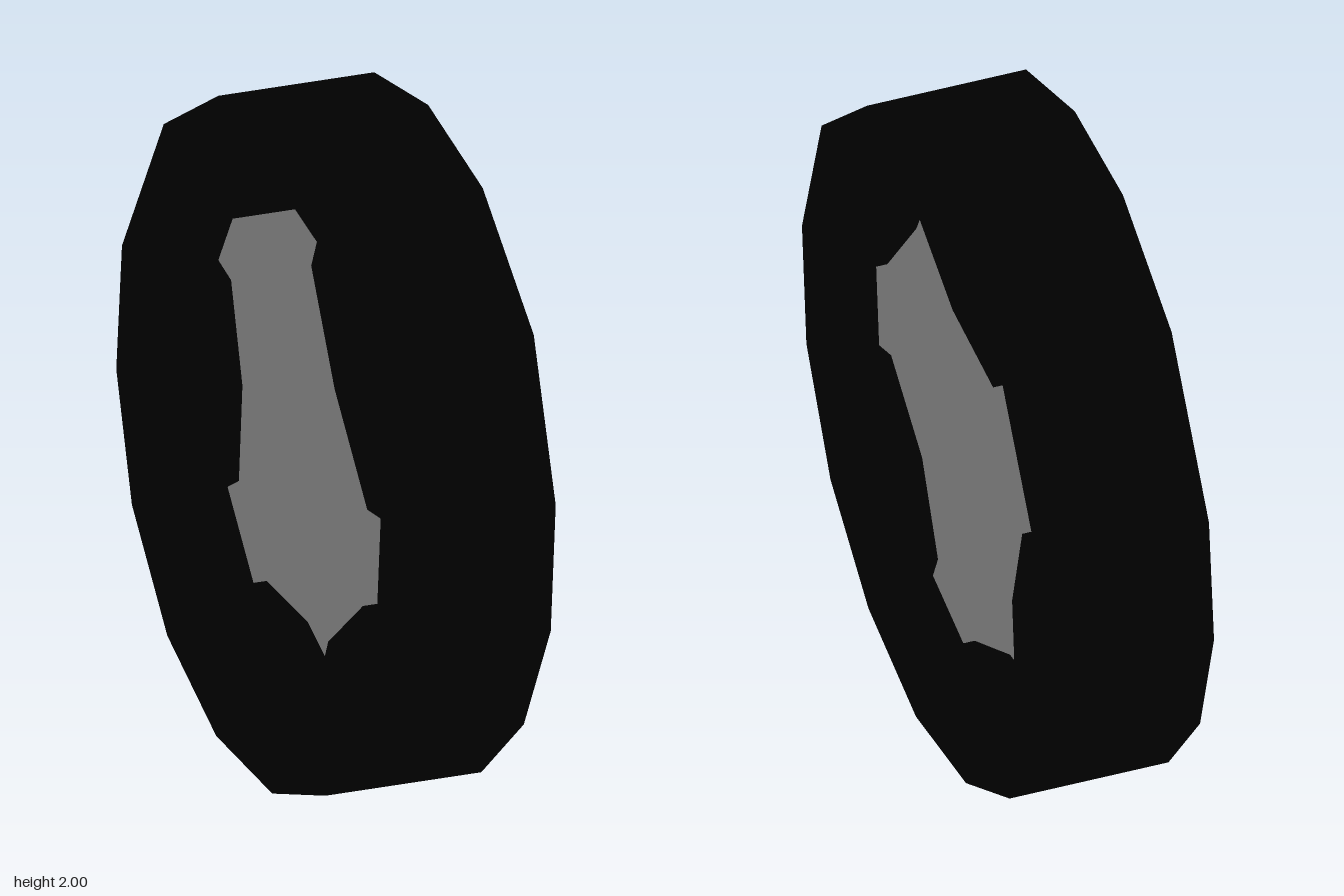
import * as THREE from 'three';

// Clockwise side profiles as [-z, y] pairs
const RIM = [
  [-0.1, 2], [0.28, 1.97], [0.665, 1.755], [0.96, 1.29], [1, 0.905],
  [0.89, 0.535], [0.64, 0.225], [0.295, 0.04], [-0.1, 0], [-0.475, 0.12],
  [-0.775, 0.365], [-0.965, 0.71], [-1, 1.1], [-0.845, 1.56], [-0.485, 1.88],
];
// Opening with five inward lugs, five points for each
const OPENING = [
  [-0.08, 1.865], [-0.075, 1.77], [0.19, 1.63], [0.51, 1.58], [0.575, 1.655],
  [0.83, 1.255], [0.74, 1.225], [0.66, 0.935], [0.685, 0.64], [0.765, 0.595],
  [0.555, 0.335], [0.49, 0.405], [0.2, 0.38], [-0.08, 0.235], [-0.09, 0.14],
  [-0.41, 0.235], [-0.37, 0.32], [-0.495, 0.59], [-0.74, 0.78], [-0.835, 0.75],
  [-0.865, 1.085], [-0.77, 1.08], [-0.54, 1.365], [-0.375, 1.68], [-0.415, 1.765],
];

const toPoints = (list) => list.map(([u, y]) => new THREE.Vector2(u, y));

// Extrude a side profile along x, from x0 to x1
function slab(name, shape, x0, x1, color) {
  const geometry = new THREE.ExtrudeGeometry(shape, { depth: x1 - x0, bevelEnabled: false });
  geometry.rotateY(Math.PI / 2);
  geometry.translate(x0, 0, 0);
  const mesh = new THREE.Mesh(geometry, new THREE.MeshStandardMaterial({ color, flatShading: true }));
  mesh.name = name;
  return mesh;
}

export function createModel() {
  const wheel = new THREE.Group();
  wheel.name = 'wheel';

  // Faceted tyre with inward lugs; the hole winds opposite to the rim so its walls face inward
  const tyre = new THREE.Shape(toPoints(RIM));
  tyre.holes.push(new THREE.Path(toPoints(OPENING).reverse()));
  wheel.add(slab('tyre', tyre, -0.24, 0.24, 0x000000));

  // Recessed plate filling the opening
  wheel.add(slab('hubPlate', new THREE.Shape(toPoints(OPENING)), 0, 0.07, 0xcccccc));

  return wheel;
}
